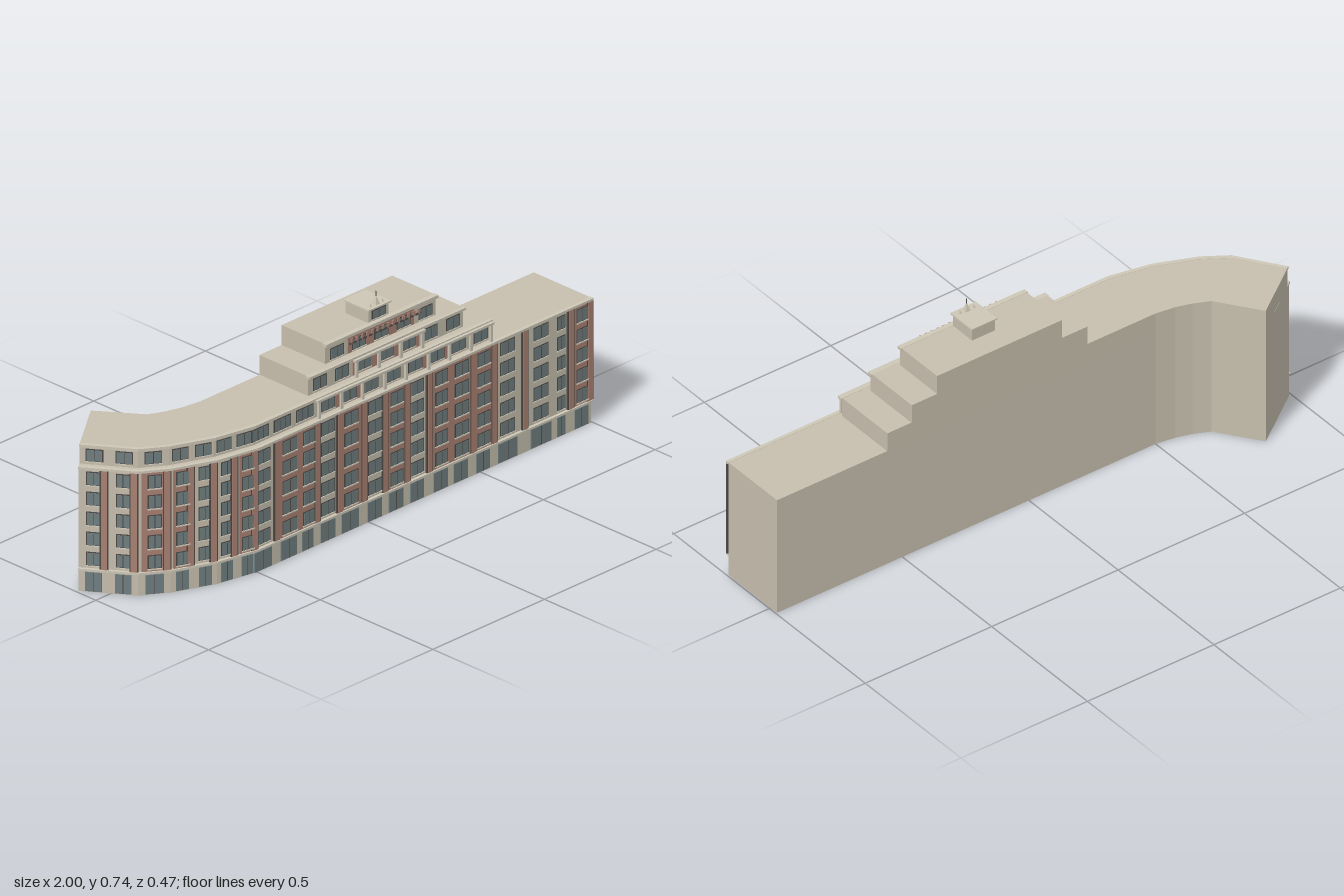
import * as THREE from 'three';

const mat = (name, color) => {
  const m = new THREE.MeshStandardMaterial({ color });
  m.name = name;
  return m;
};

export function createModel() {
  const stone = mat('stone', 0xc6bead), brick = mat('brick', 0xa98072);
  const glass = mat('glass', 0x6f7d7f), dark = mat('darkFrame', 0x4d4945);
  const trim = mat('trim', 0xcdc6b6);
  const model = new THREE.Group();
  model.name = 'building';
  const group = name => {
    const g = new THREE.Group();
    g.name = name;
    model.add(g);
    return g;
  };

  // Front line from the right end round the curve, and back line returning
  const front = [[0.995, 0.221], [-0.5, 0.221], [-0.65, 0.19], [-0.795, 0.13], [-0.883, 0.072], [-0.991, -0.085]];
  const back = [[-0.785, -0.235], [-0.68, -0.09], [-0.625, -0.064], [-0.57, -0.047], [-0.5, -0.036], [0.995, -0.033]];
  const normal = (a, b) => {
    const l = Math.hypot(b[0] - a[0], b[1] - a[1]);
    return [(b[1] - a[1]) / l, (a[0] - b[0]) / l];
  };
  // Parallel copy of the front line, mitred at the corners
  const offset = d => front.map((p, i) => {
    const n1 = i ? normal(front[i - 1], p) : normal(p, front[1]);
    const n2 = i < front.length - 1 ? normal(p, front[i + 1]) : n1;
    const k = d / (1 + n1[0] * n2[0] + n1[1] * n2[1]);
    return [p[0] + (n1[0] + n2[0]) * k, p[1] + (n1[1] + n2[1]) * k];
  });
  // Upright block with a floor plan given as x, z points
  const prism = (parent, name, plan, y0, y1, m) => {
    const shape = new THREE.Shape(plan.map(p => new THREE.Vector2(p[0], -p[1])));
    const g = new THREE.ExtrudeGeometry(shape, { depth: y1 - y0, bevelEnabled: false });
    g.rotateX(-Math.PI / 2).translate(0, y0, 0);
    const mesh = new THREE.Mesh(g, m);
    mesh.name = name;
    parent.add(mesh);
  };
  const box = (parent, name, x0, x1, y0, y1, z0, z1, m) => {
    const mesh = new THREE.Mesh(new THREE.BoxGeometry(x1 - x0, y1 - y0, z1 - z0), m);
    mesh.position.set((x0 + x1) / 2, (y0 + y1) / 2, (z0 + z1) / 2);
    mesh.name = name;
    parent.add(mesh);
  };

  // Main body and set-back attic storey
  const body = group('body');
  prism(body, 'mainBody', [...front, ...back], 0, 0.44, stone);
  const setBack = (d, x) => offset(d).map((p, i) => i ? p : [x, p[1]]);
  prism(body, 'atticStorey', [...setBack(-0.018, 0.56), ...back.slice(0, -1), [0.56, -0.035]], 0.44, 0.51, stone);

  // Cornices following the front
  const cornice = (name, y0, y1, d0, d1, x = 0.997) => prism(body, name,
    [...setBack(d1, x), ...setBack(d0, x).reverse()], y0, y1, trim);
  cornice('groundCornice', 0.077, 0.084, -0.003, 0.011);
  cornice('mainCornice', 0.433, 0.441, -0.003, 0.01);
  cornice('atticCornice', 0.502, 0.511, -0.022, -0.008, 0.565);

  // Facade bays: each bay is a group turned to its stretch of wall
  const facade = group('facade');
  const bay = (x, z, nx, nz) => {
    const g = new THREE.Group();
    g.name = 'facadeBay';
    g.position.set(x, 0, z);
    g.rotation.y = Math.atan2(nx, nz);
    facade.add(g);
    return g;
  };
  const floors = [0, 1, 2, 3, 4].map(i => 0.117 + i * 0.0705);
  const windowAt = (g, x, y, w, h, z, mullions = 1) => {
    box(g, 'windowFrame', x - w / 2 - 0.003, x + w / 2 + 0.003, y - h / 2 - 0.003, y + h / 2 + 0.003, z - 0.001, z + 0.001, dark);
    box(g, 'windowGlass', x - w / 2, x + w / 2, y - h / 2, y + h / 2, z, z + 0.002, glass);
    for (let i = 1; i <= mullions; i++) {
      const mx = x - w / 2 + w * i / (mullions + 1);
      box(g, 'mullion', mx - 0.001, mx + 0.001, y - h / 2, y + h / 2, z, z + 0.003, dark);
    }
    box(g, 'windowSill', x - w / 2 - 0.004, x + w / 2 + 0.004, y - h / 2 - 0.006, y - h / 2 - 0.002, z, z + 0.004, trim);
  };
  const fillBay = (g, width, win, red) => {
    if (red) box(g, 'brickPanel', -width / 2, width / 2, 0.084, 0.433, 0, 0.005, brick);
    for (const y of floors) windowAt(g, 0, y, win, 0.042, red ? 0.006 : 0.001);
    const shop = width * 0.7;
    box(g, 'shopWindow', -shop / 2, shop / 2, 0.003, 0.07, 0, 0.003, glass);
    box(g, 'shopMullion', -0.001, 0.001, 0.003, 0.07, 0.002, 0.004, dark);
  };
  const pier = (g, x) => {
    box(g, 'brickPier', x - 0.01, x + 0.01, 0.084, 0.433, 0, 0.008, brick);
    for (const s of [-1, 1])
      box(g, 'pierShadowGap', x + s * 0.012 - 0.002, x + s * 0.012 + 0.002, 0.084, 0.433, 0, 0.006, dark);
  };

  // Straight wing: centre, bay width, window width, brick or stone
  [[-0.475, 0.11, 0.058, 0], [-0.36, 0.1, 0.058, 1], [-0.275, 0.07, 0.045, 1], [-0.185, 0.09, 0.055, 0],
    [-0.085, 0.11, 0.055, 1], [0.025, 0.09, 0.055, 0], [0.12, 0.09, 0.05, 1], [0.215, 0.085, 0.055, 0],
    [0.32, 0.09, 0.05, 1], [0.41, 0.09, 0.055, 1], [0.51, 0.085, 0.05, 1], [0.62, 0.12, 0.06, 0],
    [0.77, 0.13, 0.06, 0], [0.86, 0.05, 0.03, 0], [0.95, 0.085, 0.045, 1]]
    .forEach(([x, w, win, red]) => fillBay(bay(x, 0.221, 0, 1), w, win, red));
  const wing = bay(0, 0.221, 0, 1);
  [-0.415, -0.235, -0.135, -0.025, 0.07, 0.168, 0.268, 0.463, 0.558, 0.695, 0.9, 0.985].forEach(x => pier(wing, x));

  // Curved wing: bays spread evenly along each stretch
  [2, 2, 1, 2].forEach((count, k) => {
    const a = front[k + 1], b = front[k + 2], n = normal(a, b);
    const step = Math.hypot(b[0] - a[0], b[1] - a[1]) / count;
    for (let i = 0; i < count; i++) {
      const t = (i + 0.5) / count;
      const g = bay(a[0] + (b[0] - a[0]) * t, a[1] + (b[1] - a[1]) * t, ...n);
      fillBay(g, step * 0.8, 0.04, (i + k) % 2 === 0 && k < 3);
      pier(g, step / 2 - 0.013);
      // Attic windows above, on the set-back wall
      windowAt(g, 0, 0.472, 0.05, 0.038, -0.017);
    }
  });

  // Attic windows of the straight wing
  const attic = group('atticFront');
  for (let i = 0; i < 3; i++) windowAt(attic, -0.47 + i * 0.1, 0.472, 0.07, 0.038, 0.204, 2);
  for (const [x0, x1] of [[-0.215, -0.02], [0.24, 0.45]])
    box(attic, 'brickPanel', x0, x1, 0.442, 0.502, 0.2, 0.205, brick);
  for (let i = 0; i < 8; i++) windowAt(attic, -0.17 + i * 0.098, 0.472, 0.058, 0.04, 0.206);

  // Stepped upper storeys
  const tiers = group('steppedStoreys');
  box(tiers, 'secondStorey', -0.23, 0.465, 0.51, 0.579, -0.037, 0.179, stone);
  box(tiers, 'thirdStorey', -0.13, 0.365, 0.579, 0.649, -0.037, 0.156, stone);
  box(tiers, 'secondCornice', -0.233, 0.468, 0.571, 0.579, 0.17, 0.189, trim);
  box(tiers, 'thirdCornice', -0.133, 0.368, 0.64, 0.65, 0.147, 0.165, trim);
  box(tiers, 'secondBrickPanel', -0.03, 0.265, 0.512, 0.571, 0.176, 0.181, brick);
  box(tiers, 'thirdBrickPanel', -0.03, 0.265, 0.581, 0.64, 0.153, 0.158, brick);
  for (let i = 0; i < 7; i++) windowAt(tiers, -0.18 + i * 0.0992, 0.542, 0.055, 0.038, 0.182);
  for (let i = 0; i < 5; i++) windowAt(tiers, -0.08 + i * 0.099, 0.607, 0.055, 0.034, 0.159);

  // Free-standing columns with a beam, in front of the storeys
  const colonnade = (name, xs, y0, y1, z) => {
    const g = group(name);
    for (const x of xs) box(g, 'column', x - 0.005, x + 0.005, y0, y1, z - 0.004, z + 0.004, trim);
    box(g, 'beam', xs[0] - 0.01, xs[xs.length - 1] + 0.01, y1 - 0.008, y1, z - 0.005, z + 0.005, trim);
  };
  colonnade('lowerColonnade', [-0.22, -0.12, -0.025, 0.075, 0.17, 0.27, 0.365, 0.46, 0.55], 0.44, 0.507, 0.218);
  colonnade('upperColonnade', [-0.03, 0.07, 0.168, 0.265], 0.51, 0.574, 0.196);

  // Roof-front rail carried on brackets
  const rail = group('frontRail');
  box(rail, 'railBar', -0.04, 0.28, 0.622, 0.627, 0.173, 0.178, dark);
  for (let i = 0; i < 14; i++) {
    const x = -0.03 + i * 0.0231;
    box(rail, 'railPost', x - 0.004, x + 0.004, 0.622, 0.64, 0.173, 0.178, brick);
  }

  // Rooftop house with cap and window
  const house = group('rooftopHouse');
  box(house, 'houseBody', 0.072, 0.163, 0.649, 0.692, 0.047, 0.147, stone);
  box(house, 'houseCap', 0.067, 0.168, 0.692, 0.697, 0.042, 0.154, trim);
  windowAt(house, 0.118, 0.671, 0.055, 0.026, 0.148);

  // Spire with two small side pinnacles
  const cone = (name, x, y0, y1, r, m) => {
    const mesh = new THREE.Mesh(new THREE.ConeGeometry(r, y1 - y0, 4).rotateY(Math.PI / 4).toNonIndexed(), m);
    mesh.geometry.computeVertexNormals();
    mesh.position.set(x, (y0 + y1) / 2, 0.135);
    mesh.name = name;
    house.add(mesh);
  };
  cone('spire', 0.118, 0.697, 0.728, 0.013, trim);
  for (const s of [-1, 1]) cone('pinnacle', 0.118 + s * 0.027, 0.697, 0.71, 0.008, trim);
  box(house, 'mast', 0.1168, 0.1192, 0.72, 0.742, 0.1338, 0.1362, dark);
  return model;
}
